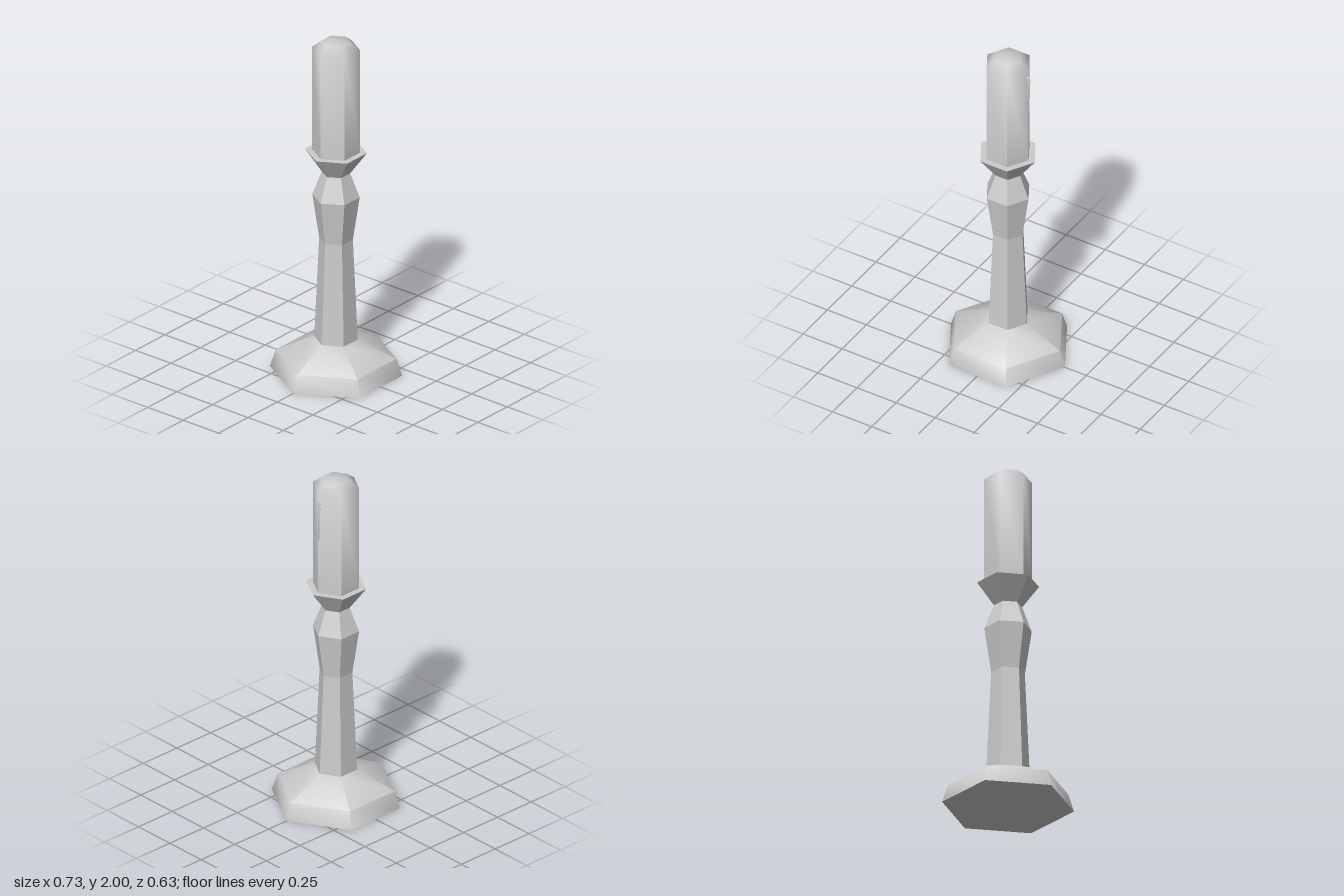
import * as THREE from 'three';
import { toCreasedNormals } from 'three/addons/utils/BufferGeometryUtils.js';

const grey = new THREE.MeshStandardMaterial({ color: 0xcccccc });

// Turn a [radius, height] profile (bottom to top) with corners on the x axis.
function turned(name, profile, sides, crease) {
  const points = profile.map(([r, y]) => new THREE.Vector2(r, y));
  const lathe = new THREE.LatheGeometry(points, sides, Math.PI / 2);
  const mesh = new THREE.Mesh(toCreasedNormals(lathe, crease), grey);
  mesh.name = name;
  return mesh;
}

export function createModel() {
  const group = new THREE.Group();
  group.name = 'candlestick';

  // Wide foot, softly shaded over its shoulder, with a flat underside
  const base = turned('base', [[0, 0], [0.364, 0], [0.333, 0.1], [0.12, 0.2]], 6, 1.02);

  // Faceted stem with a waist, a knob and a narrow neck
  const stem = turned('stem', [[0.12, 0.2], [0.093, 0.8], [0.131, 1.06], [0.078, 1.2]], 6, 0.01);

  // Flared drip cup with a flat top
  const cup = turned('dripCup', [[0.078, 1.2], [0.171, 1.33], [0, 1.33]], 6, 0.01);

  // Candle with crisp lower edges and a shallow rounded top
  const candle = turned('candle', [[0.132, 1.33], [0.132, 1.95], [0.08, 1.99], [0, 2]], 6, 1.02);
  const { position, normal } = candle.geometry.attributes;
  for (let i = 0; i < position.count; i++) {
    // Soften the corners where the sides meet the top
    if (Math.abs(position.getY(i) - 1.95) < 0.001) {
      const n = new THREE.Vector3(position.getX(i), 0.06, position.getZ(i)).normalize();
      normal.setXYZ(i, n.x, n.y, n.z);
    }
  }

  // Thin run of wax down one corner of the candle
  const drip = turned('waxDrip', [[0, 1.65], [0.007, 1.66], [0.014, 1.88], [0.01, 1.9], [0, 1.905]], 4, 0.8);
  drip.position.x = 0.129;

  group.add(base, stem, cup, candle, drip);
  return group;
}
